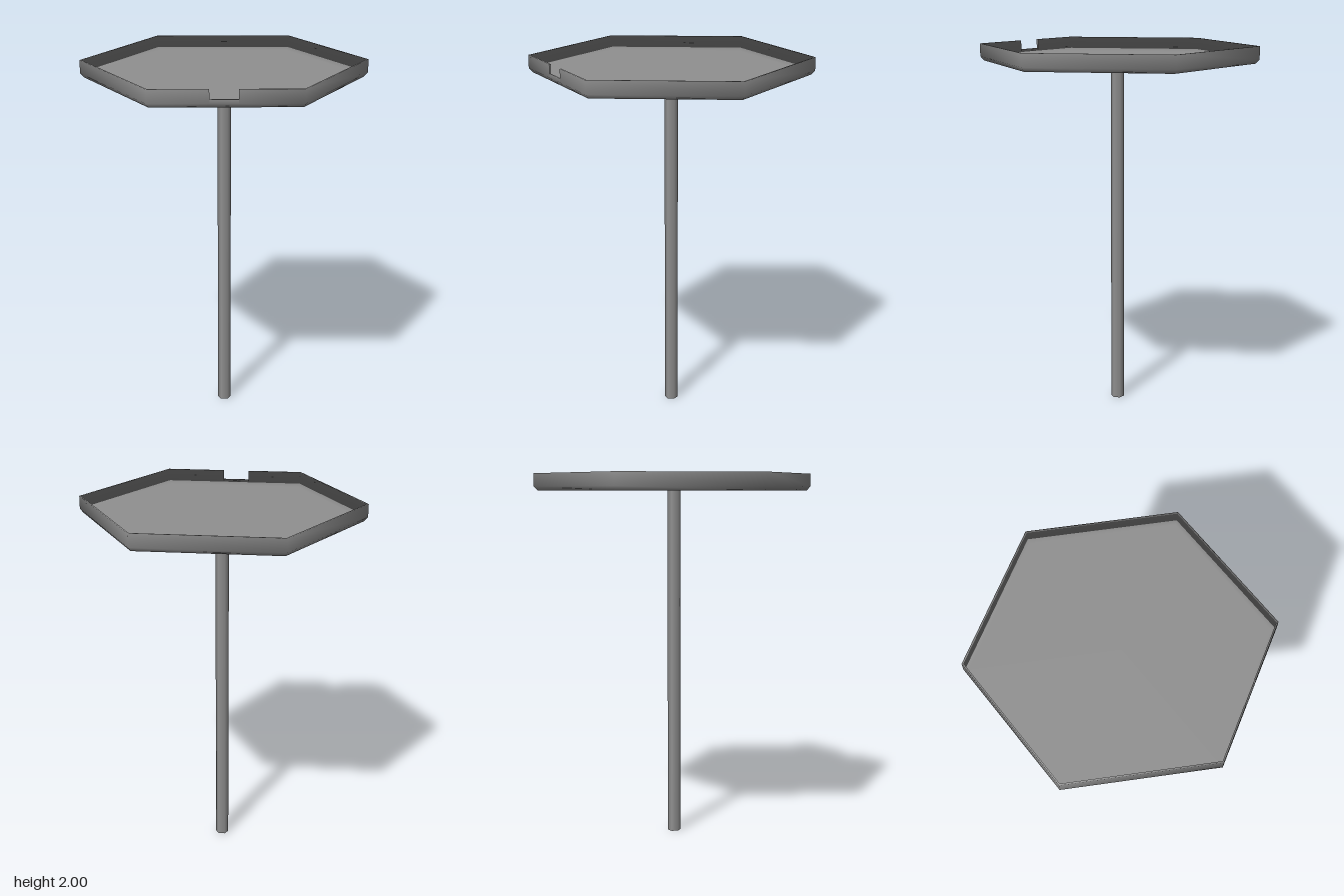
import * as THREE from 'three';

const NOTCH_X = [0.06, -0.08], NOTCH_Y = 1.95, TOP = 2;
const APOTHEM = Math.sqrt(3) / 2;

// Shell cross-section: radius, height, then outward and upward parts of the smooth normal
const profile = [
  [0, 1.908, 0, -1], [0.74, 1.908, 0, -1], [0.76, 1.93, 0.95, -0.31], [0.76, TOP, 1, 0],
  [0.75, TOP, 0.6, 0.8], [0.75, 1.935, 0.2, 0.98], [0.735, 1.92, 0, 1], [0, 1.92, 0, 1],
];

function hexTray() {
  const positions = [], normals = [];
  const tri = (...corners) => corners.forEach(({ p, n }) => {
    positions.push(...p);
    normals.push(...n);
  });
  const quad = (a, b, c, d) => { tri(a, b, c); tri(a, c, d); };

  // Hexagon corners, with the two notch edges inserted along the front side
  const stations = [];
  for (let k = 0; k < 6; k++) {
    const angle = k * Math.PI / 3;
    stations.push({ dir: [Math.cos(angle), Math.sin(angle)] });
    if (k === 1) NOTCH_X.forEach((x) => stations.push({ x, dir: [0, 1] }));
  }
  const corner = ({ x, dir }, [r, y, out, up], top) => {
    const h = Math.min(y, top);
    const p = x === undefined ? [r * dir[0], h, r * dir[1]] : [r > 0 ? x : 0, h, r * APOTHEM];
    return { p, n: [out * dir[0], up, out * dir[1]] };
  };

  // Sweep the profile from each station to the next
  stations.forEach((s, i) => {
    const next = stations[(i + 1) % stations.length];
    const top = s.x === NOTCH_X[0] ? NOTCH_Y : TOP;
    for (let j = 0; j < profile.length - 1; j++) {
      const [p, q] = [profile[j], profile[j + 1]];
      const a = corner(s, p, top), b = corner(s, q, top);
      const c = corner(next, q, top), d = corner(next, p, top);
      if (p[0] === 0) tri(a, b, c);
      else if (q[0] === 0) tri(a, b, d);
      else quad(a, b, c, d);
    }
  });

  // Side faces of the notch
  const zo = 0.76 * APOTHEM, zi = 0.75 * APOTHEM;
  NOTCH_X.forEach((x, i) => {
    const n = [i === 0 ? -1 : 1, 0, 0];
    const c = [[NOTCH_Y, zo], [TOP, zo], [TOP, zi], [NOTCH_Y, zi]].map(([y, z]) => ({ p: [x, y, z], n }));
    quad(...(i === 0 ? c : c.reverse()));
  });

  const geometry = new THREE.BufferGeometry();
  geometry.setAttribute('position', new THREE.Float32BufferAttribute(positions, 3));
  geometry.setAttribute('normal', new THREE.Float32BufferAttribute(normals, 3));
  geometry.normalizeNormals();
  return geometry;
}

export function createModel() {
  const model = new THREE.Group();
  model.name = 'hexTrayOnPole';
  const darkGrey = new THREE.MeshStandardMaterial({ color: 0x909090 });

  // Shallow hexagonal tray with a notched rim
  const tray = new THREE.Mesh(hexTray(), darkGrey);
  tray.name = 'tray';

  // Slim six-sided pole, corners pointing sideways like the tray's
  const poleGeometry = new THREE.CylinderGeometry(0.036, 0.036, 1.91, 6, 1, false, Math.PI / 2);
  const pole = new THREE.Mesh(poleGeometry, darkGrey);
  pole.name = 'pole';
  pole.position.y = 1.91 / 2;

  model.add(tray, pole);
  return model;
}
